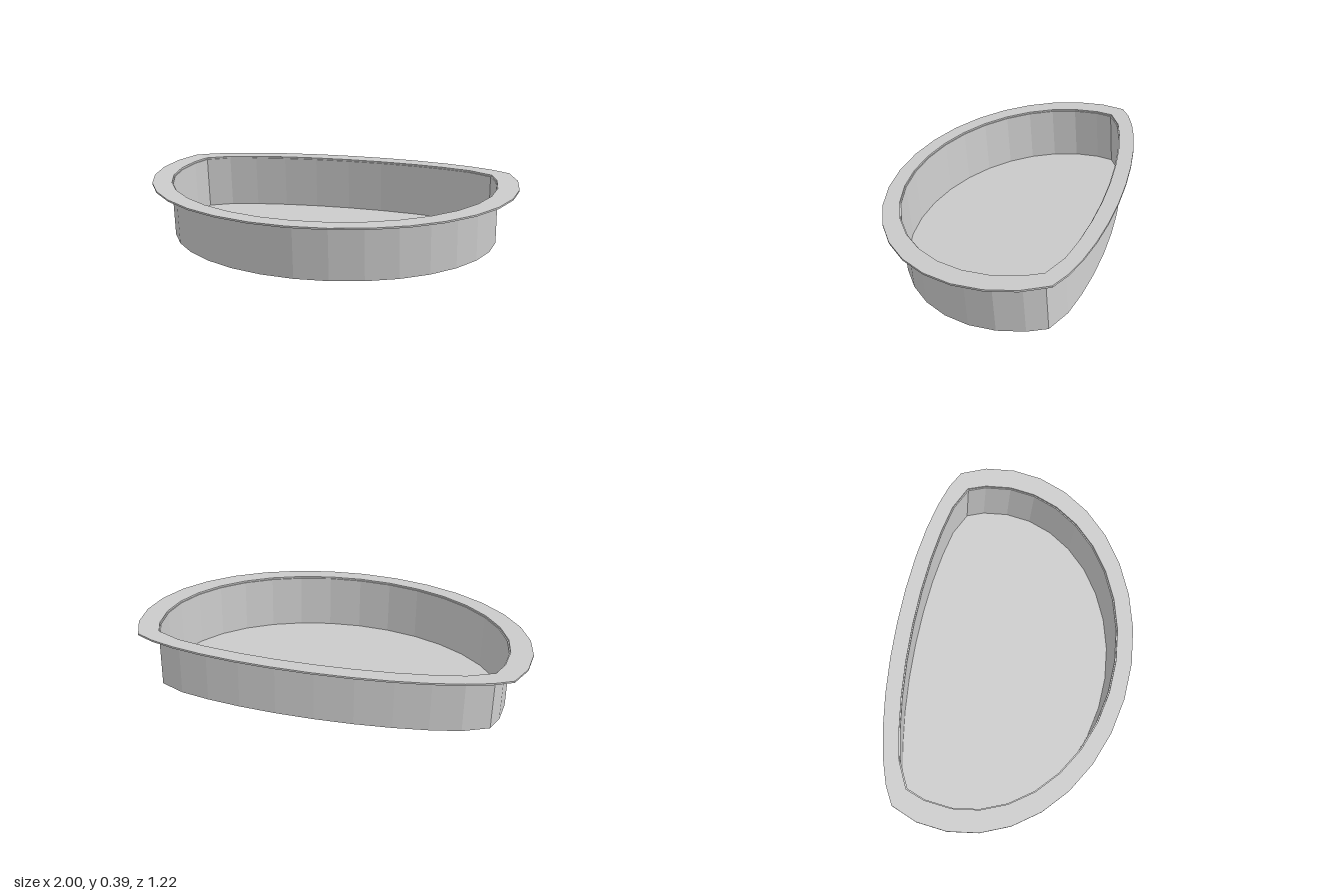
import * as THREE from 'three';

const STEP = Math.PI / 16;
const TILT = 0.0777;

// Closed half-moon outline: a broad elliptical front, two corners, a shallow curved back.
// Shape y is -z, so the extrusion can be laid flat; reversed to run counter-clockwise.
function outline({ rx, rz, cornerX, cornerZ, backShift, backSteps }) {
  const pts = [];
  for (let i = -1; i <= 17; i++) {
    const a = i * STEP;
    pts.push(new THREE.Vector2(rx * Math.cos(a), 0.165 - rz * Math.sin(a)));
  }
  pts.push(new THREE.Vector2(-cornerX, -cornerZ));
  for (let i = -backSteps; i <= backSteps; i++) {
    const a = i * STEP;
    pts.push(new THREE.Vector2(Math.sin(a), 0.35 - backShift + 0.262 * Math.cos(a)));
  }
  pts.push(new THREE.Vector2(cornerX, -cornerZ));
  return pts.reverse();
}

// Outline of the basin wall, moved inward by d
const basin = (d) => outline({
  rx: 0.891 - d, rz: 0.697 - d, cornerX: 0.837 - d, cornerZ: -0.396 + d * 0.8,
  backShift: 0.079 + d, backSteps: 4,
});

// Flat slab between two heights, optionally with a hole
function slab(name, outer, hole, y0, y1, material) {
  const shape = new THREE.Shape(outer);
  if (hole) shape.holes.push(new THREE.Path(hole));
  const geo = new THREE.ExtrudeGeometry(shape, { depth: y1 - y0, bevelEnabled: false });
  geo.rotateX(-Math.PI / 2);
  geo.translate(0, y0, 0);
  const mesh = new THREE.Mesh(geo, material);
  mesh.name = name;
  return mesh;
}

export function createModel() {
  const group = new THREE.Group();
  group.name = 'recessedTray';
  const mat = new THREE.MeshStandardMaterial({ color: 0xcccccc, flatShading: true });

  // Everything hangs below the rim's top plane, which slopes down to the front
  const tray = new THREE.Group();
  tray.name = 'tiltedTray';
  tray.rotation.x = TILT;
  tray.position.y = 0.34;

  const rimEdge = outline({
    rx: 1, rz: 0.778, cornerX: 0.924, cornerZ: -0.448, backShift: 0, backSteps: 5,
  });
  tray.add(slab('rim', rimEdge, basin(0.001), -0.009, 0, mat));
  tray.add(slab('wall', basin(0), basin(0.007), -0.3, -0.009, mat));
  tray.add(slab('floor', basin(0.007), null, -0.3, -0.295, mat));

  group.add(tray);
  return group;
}
